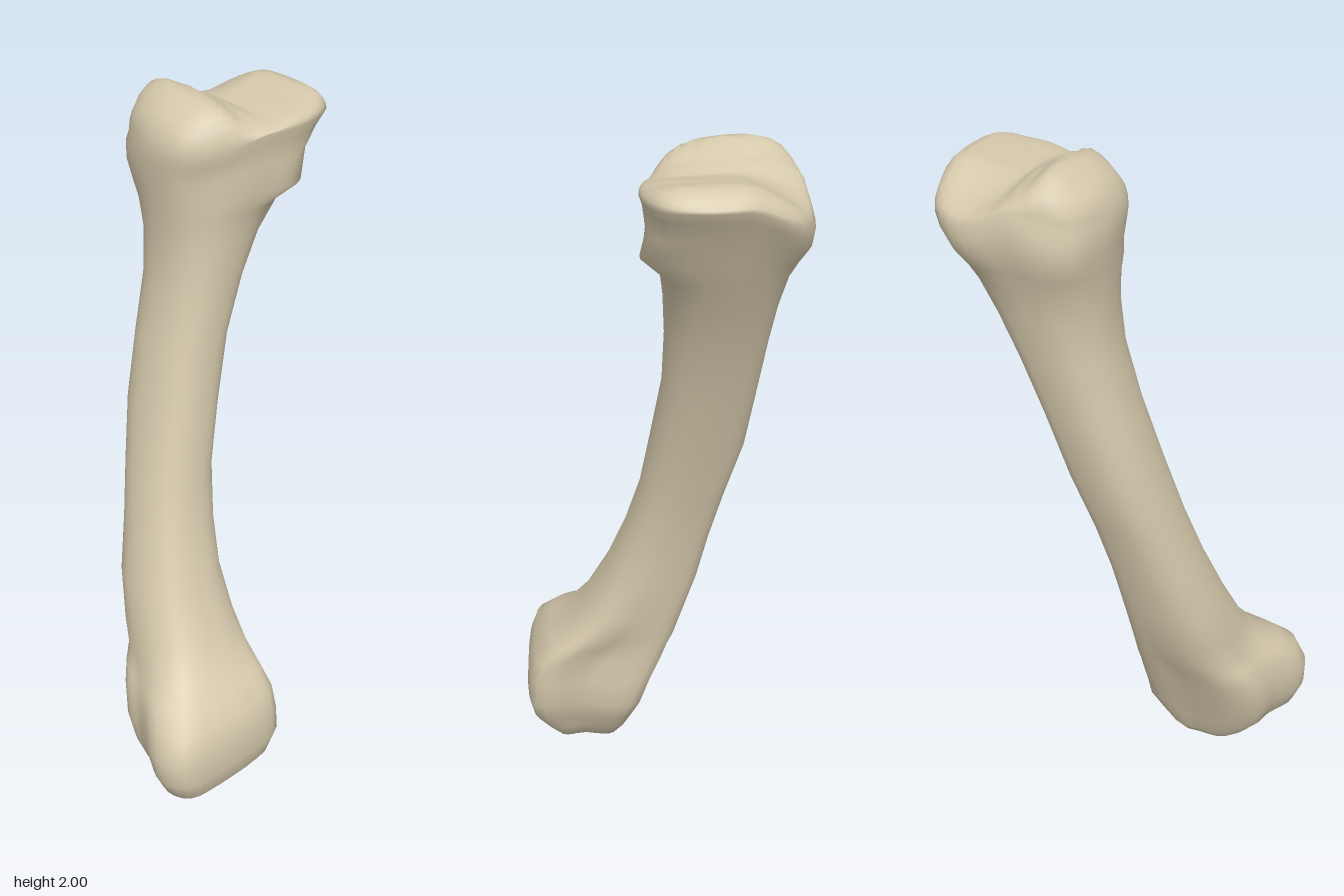
import * as THREE from 'three';

const SIDES = 48;
const smooth = THREE.MathUtils.smoothstep;
const lerp = THREE.MathUtils.lerp;

// Outline radii at 16 equal angles (from +x towards +z), relative to the section's box
const SHAFT = [1, 1.03, 1.05, 1.03, 1, 1.03, 1.07, 1.03, 1, 1.02, 1.04, 1.02, 1, 1.05, 1.17, 1.05];
const FOOT = [0.86, 0.95, 1.22, 1.05, 0.96, 1, 1.14, 1.05, 0.84, 0.78, 0.91, 0.96, 0.96, 1.04, 1.32, 1.04];
const HEAD = [0.98, 1.06, 1.18, 1.07, 0.94, 0.87, 0.89, 0.99, 1, 1.03, 1.09, 1.02, 0.98, 1.05, 1.09, 0.98];

// Sections from the bottom up: y, xMin, xMax, zMin, zMax
const SECTIONS = [
  [0.005, -0.22, -0.17, 0.17, 0.22],
  [0.03, -0.30, -0.11, 0.10, 0.28],
  [0.07, -0.35, -0.09, 0.07, 0.32],
  [0.13, -0.42, -0.05, 0.05, 0.36],
  [0.20, -0.45, -0.02, 0.02, 0.375],
  [0.28, -0.455, -0.02, -0.01, 0.37],
  [0.35, -0.43, -0.02, -0.04, 0.35],
  [0.40, -0.39, -0.015, -0.06, 0.30],
  [0.44, -0.34, -0.01, -0.08, 0.25],
  [0.52, -0.305, 0, -0.11, 0.19],
  [0.65, -0.27, 0.005, -0.15, 0.12],
  [0.80, -0.22, 0.025, -0.18, 0.065],
  [0.95, -0.175, 0.055, -0.215, 0.025],
  [1.13, -0.12, 0.105, -0.26, 0],
  [1.32, -0.065, 0.165, -0.28, -0.025],
  [1.48, -0.02, 0.225, -0.295, -0.025],
  [1.60, -0.01, 0.28, -0.31, -0.015],
  [1.69, -0.015, 0.33, -0.33, 0],
  [1.75, -0.02, 0.36, -0.355, 0.03],
  [1.82, -0.025, 0.395, -0.375, 0.035],
  [1.88, -0.03, 0.43, -0.375, 0.05],
  [1.91, -0.03, 0.45, -0.365, 0.06]
];

// Smooth periodic lookup into an outline
function radius(table, t) {
  const i = Math.floor(t), f = t - i;
  const at = (k) => table[(k + 16) % 16];
  const [a, b, c, d] = [at(i - 1), at(i), at(i + 1), at(i + 2)];
  return b + 0.5 * f * (c - a + f * (2 * a - 5 * b + 4 * c - d + f * (3 * (b - c) + d - a)));
}

// Height of the saddle-shaped joint surface on top
const CREST = [[-0.03, 1.94], [0, 1.965], [0.1, 2], [0.16, 1.96], [0.22, 1.935], [0.3, 1.945], [0.4, 1.965], [0.46, 1.93]];
function saddle(x, z) {
  let k = 0;
  while (k < CREST.length - 2 && x > CREST[k + 1][0]) k++;
  const [a, b] = [CREST[k], CREST[k + 1]];
  const y = lerp(a[1], b[1], smooth(x, a[0], b[0]));
  return y - (z + 0.2) ** 2 * (1 - smooth(x, 0.12, 0.25));
}

function sectionRing([y, x0, x1, z0, z1]) {
  const foot = 1 - smooth(y, 0.34, 0.54);
  const head = smooth(y, 1.52, 1.84);
  const ring = [];
  for (let j = 0; j < SIDES; j++) {
    const a = (j / SIDES) * Math.PI * 2, t = (j / SIDES) * 16;
    const r = radius(SHAFT, t) * (1 - foot - head) + radius(FOOT, t) * foot + radius(HEAD, t) * head;
    const x = (x0 + x1) / 2 + Math.cos(a) * r * (x1 - x0) / 2;
    const z = (z0 + z1) / 2 + Math.sin(a) * r * (z1 - z0) / 2;
    // The rim sits lower around the rounded crest
    const tilt = 0.05 * (1 - smooth(x, 0.02, 0.2)) * smooth(y, 1.66, 1.91);
    ring.push(new THREE.Vector3(x, y - tilt, z));
  }
  return ring;
}

function boneGeometry() {
  const rings = SECTIONS.map(sectionRing);

  // Joint surface: shrinking copies of the rim lifted onto the saddle
  const rim = rings[rings.length - 1];
  const centre = new THREE.Vector3(0.21, 1.91, -0.15);
  for (const s of [0.99, 0.965, 0.92, 0.84, 0.72, 0.58, 0.42, 0.26, 0.12, 0.01]) {
    rings.push(rim.map((p) => {
      const q = centre.clone().lerp(p, s);
      q.y = lerp(p.y, saddle(q.x, q.z), Math.sqrt(1 - s ** 8));
      return q;
    }));
  }

  const position = [], index = [];
  for (const ring of rings) {
    for (const p of ring) {
      // Lip sloping down at the back, and the small knob at the front of the head
      const drop = 0.065 * smooth(p.x, 0.14, 0.32) * (1 - smooth(p.z, -0.36, -0.17)) * smooth(p.y, 1.68, 1.9);
      const knob = p.z > -0.1 ? 0.035 * Math.exp(-(((p.x - 0.28) / 0.07) ** 2) - ((p.y - 1.76) / 0.05) ** 2) : 0;
      position.push(p.x, p.y - drop, p.z + knob);
    }
  }
  for (let i = 0; i < rings.length - 1; i++) {
    for (let j = 0; j < SIDES; j++) {
      const a = i * SIDES + j, b = i * SIDES + (j + 1) % SIDES;
      index.push(a, a + SIDES, b, b, a + SIDES, b + SIDES);
    }
  }

  // Close the bottom and the top
  const low = position.length / 3;
  position.push(-0.195, 0, 0.195);
  position.push(centre.x, saddle(centre.x, centre.z), centre.z);
  const last = (rings.length - 1) * SIDES;
  for (let j = 0; j < SIDES; j++) {
    const n = (j + 1) % SIDES;
    index.push(low, j, n, low + 1, last + n, last + j);
  }

  const geometry = new THREE.BufferGeometry();
  geometry.setAttribute('position', new THREE.Float32BufferAttribute(position, 3));
  geometry.setIndex(index);
  geometry.computeVertexNormals();
  return geometry;
}

export function createModel() {
  const group = new THREE.Group();
  group.name = 'bone';
  const material = new THREE.MeshStandardMaterial({ color: 0xd3c7aa });
  material.name = 'bone ivory';
  const bone = new THREE.Mesh(boneGeometry(), material);
  bone.name = 'boneShaftAndJoints';
  group.add(bone);
  return group;
}
